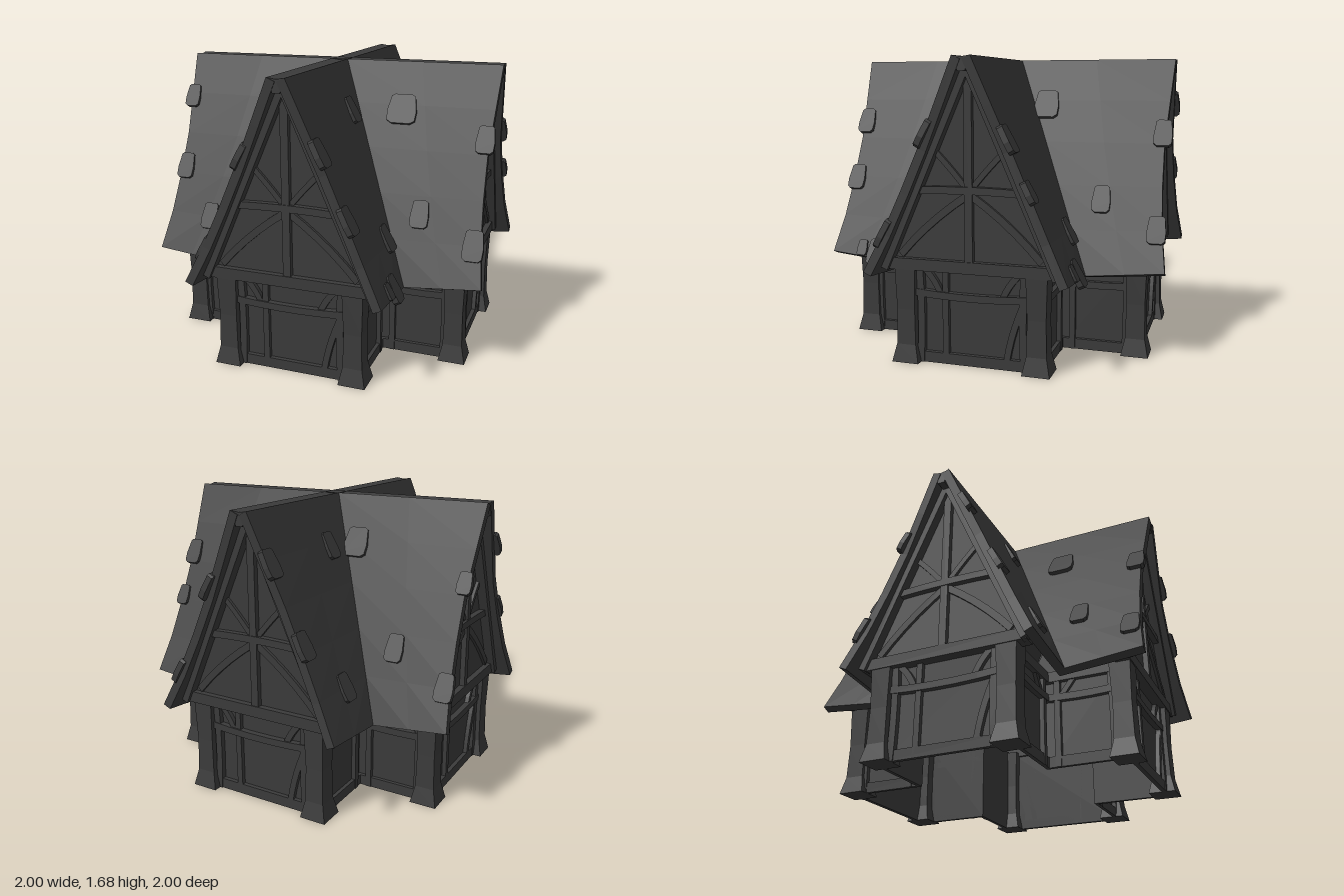
import * as THREE from 'three';

const mat = new THREE.MeshStandardMaterial({ color: 0x3b3b3b, flatShading: true, side: THREE.DoubleSide });

function add(parent, name, geometry) {
  const mesh = new THREE.Mesh(geometry, mat);
  mesh.name = name;
  parent.add(mesh);
  return mesh;
}

function extrude(points, z, depth) {
  const shape = new THREE.Shape(points.map(([x, y]) => new THREE.Vector2(x, y)));
  return new THREE.ExtrudeGeometry(shape, { depth, bevelEnabled: false }).translate(0, 0, z);
}

// Timber lying on a wall, from a to b, optionally bowed sideways
function timber(parent, name, a, b, width, z, depth, bow = 0) {
  const A = new THREE.Vector2(...a), B = new THREE.Vector2(...b);
  const dir = B.clone().sub(A).normalize();
  const n = new THREE.Vector2(-dir.y, dir.x);
  const mid = A.clone().add(B).multiplyScalar(0.5).addScaledVector(n, bow * 2);
  const curve = new THREE.QuadraticBezierCurve(A, mid, B);
  const steps = bow ? 5 : 1, left = [], right = [];
  for (let i = 0; i <= steps; i++) {
    const p = curve.getPoint(i / steps);
    left.unshift([p.x + n.x * width / 2, p.y + n.y * width / 2]);
    right.push([p.x - n.x * width / 2, p.y - n.y * width / 2]);
  }
  add(parent, name, extrude([...right, ...left], z, depth));
}

// Loft closed rings of points, capped at both ends
function loft(rings, flip) {
  const n = rings[0].length, index = [];
  const tri = (a, b, c) => flip ? index.push(a, c, b) : index.push(a, b, c);
  for (let i = 0; i + 1 < rings.length; i++) {
    for (let j = 0; j < n; j++) {
      const a = i * n + j, b = i * n + (j + 1) % n;
      tri(a, b, b + n);
      tri(a, b + n, a + n);
    }
  }
  const last = (rings.length - 1) * n;
  for (let j = 1; j + 1 < n; j++) {
    tri(0, j + 1, j);
    tri(last, last + j, last + j + 1);
  }
  const g = new THREE.BufferGeometry();
  g.setAttribute('position', new THREE.Float32BufferAttribute(rings.flat(2), 3));
  g.setIndex(index);
  const flat = g.toNonIndexed();
  flat.computeVertexNormals();
  return flat;
}

// Roof slope: height at distance h from the ridge line and z along the wing
const H0 = 0.05, H1 = 0.57;
const roofY = (h, z) => {
  const t = (h - H0) / (H1 - H0);
  return 1.68 - 1.2 * t + 0.045 * t ** 4 * Math.max(0, (z - 0.55) / 0.45);
};
const NX = 0.917, NY = 0.398, THICK = 0.05;

// One roof slab: mitred at the valley, with a wavy gable edge
function roofSlab(s) {
  const ends = [0.98, 0.965, 0.95, 0.955, 0.97, 1.0];
  const rings = ends.map((end, i) => {
    const h = H0 + (H1 - H0) * i / (ends.length - 1);
    const zs = [h, (h + end) / 2, end];
    const top = zs.map((z) => [s * h, roofY(h, z), z]);
    const b = h - NX * THICK;
    const under = [b, (h + end) / 2, end].map((z, k) => [s * b, roofY(h, zs[k]) - NY * THICK, z]);
    return [...top, ...under.reverse()];
  });
  return loft(rings, s > 0);
}

// Raised shingle with a tapered top and clipped lower corners
function shingle(parent, x, z, scale = 1) {
  const s = Math.sign(x), h = Math.abs(x);
  const outline = [[-0.043, 0.035], [-0.053, -0.05], [-0.05, -0.1], [-0.033, -0.115],
    [0.033, -0.115], [0.05, -0.1], [0.053, -0.05], [0.043, 0.035], [0.03, 0.045], [-0.03, 0.045]];
  const mesh = add(parent, 'raisedShingle', extrude(outline, -0.02, 0.034));
  const basis = new THREE.Matrix4().makeBasis(
    new THREE.Vector3(0, 0, -s), new THREE.Vector3(-s * NY, NX, 0), new THREE.Vector3(s * NX, NY, 0));
  mesh.quaternion.setFromRotationMatrix(basis);
  mesh.rotateX(-0.08);
  mesh.scale.set(scale, Math.min(scale, 1.1), 1);
  mesh.position.set(x, roofY(h, z), z);
}

// Square post with a flared foot and head
function post(parent, x, z) {
  const levels = [[0, 0.078], [0.1, 0.056], [0.3, 0.052], [0.55, 0.06]];
  const rings = levels.map(([y, r]) => [[-r, y, -r], [r, y, -r], [r, y, r], [-r, y, r]]);
  add(parent, 'cornerPost', loft(rings, true)).position.set(x, 0, z);
}

// Planes of the end wall, side walls and gable, measured from the middle
const END = 0.83, SIDE = 0.385, GABLE = 0.86;

function endWall(wing) {
  const g = new THREE.Group();
  g.name = 'endWallFrame';
  const d = 0.035;
  add(g, 'endWallPanel', new THREE.PlaneGeometry(0.76, 0.56).translate(0, 0.28, END));
  timber(g, 'sill', [-0.36, 0.03], [0.36, 0.03], 0.06, END, d - 0.01);
  timber(g, 'middleRail', [-0.34, 0.4], [0.34, 0.4], 0.04, END, d, -0.015);
  timber(g, 'wallStud', [-0.15, 0], [-0.15, 0.54], 0.035, END, d - 0.01);
  timber(g, 'longBrace', [0.2, 0.05], [0.29, 0.36], 0.035, END, d - 0.01, 0.01);
  for (const s of [-1, 1]) {
    timber(g, 'outerStud', [s * 0.3, 0], [s * 0.3, 0.54], 0.04, END, d - 0.005, s * 0.008);
    timber(g, 'shortBrace', [s * 0.18, 0.4], [s * 0.28, 0.54], 0.035, END, d - 0.01, s * 0.01);
  }
  // Gable timbers
  const gd = 0.03;
  add(g, 'gablePanel', extrude([[-0.49, 0.53], [0.49, 0.53], [0, 1.61]], GABLE - 0.02, 0.02));
  timber(g, 'gableBeam', [-0.49, 0.56], [0.49, 0.56], 0.065, END - 0.02, 0.085);
  timber(g, 'kingPost', [0, 0.58], [0, 1.6], 0.045, GABLE, gd);
  timber(g, 'collarBeam', [-0.3, 0.97], [0.3, 0.97], 0.04, GABLE, gd + 0.005, 0.008);
  for (const s of [-1, 1]) {
    timber(g, 'gableRafter', [s * 0.495, 0.535], [s * 0.012, 1.62], 0.06, GABLE, gd + 0.025);
    timber(g, 'upperBrace', [s * 0.01, 0.98], [s * 0.19, 1.18], 0.03, GABLE, gd - 0.012, s * 0.004);
    timber(g, 'lowerBrace', [s * 0.01, 0.95], [s * 0.4, 0.61], 0.04, GABLE, gd - 0.012, s * 0.018);
  }
  wing.add(g);
}

function sideWall(wing, s) {
  const g = new THREE.Group();
  g.name = 'sideWallFrame';
  g.rotation.y = s * Math.PI / 2;
  const u = (z) => -s * z, d = 0.03, length = END - SIDE;
  add(g, 'sideWallPanel', new THREE.PlaneGeometry(length, 0.56).translate(u(SIDE + length / 2), 0.28, SIDE));
  timber(g, 'sideSill', [u(SIDE), 0.03], [u(END), 0.03], 0.06, SIDE, d - 0.008);
  timber(g, 'sideRail', [u(SIDE), 0.4], [u(END), 0.4], 0.04, SIDE, d, s * 0.01);
  timber(g, 'sideTopRail', [u(SIDE), 0.52], [u(END), 0.52], 0.06, SIDE, d);
  timber(g, 'sideStud', [u(0.46), 0], [u(0.46), 0.53], 0.035, SIDE, d - 0.004);
  timber(g, 'sideStud', [u(0.765), 0], [u(0.765), 0.53], 0.03, SIDE, d - 0.004, 0.006 * s);
  timber(g, 'sideBrace', [u(0.48), 0.4], [u(0.57), 0.52], 0.03, SIDE, d - 0.01);
  wing.add(g);
}

function createWing(name, shingles) {
  const wing = new THREE.Group();
  wing.name = name;
  add(wing, 'ridgeBeam', extrude([[-0.02, 1.6], [0.02, 1.6], [0.05, 1.68], [0, 1.672], [-0.05, 1.68]], 0, 0.975));
  endWall(wing);
  for (const s of [-1, 1]) {
    add(wing, 'roofSlope', roofSlab(s));
    post(wing, s * 0.375, 0.83);
    sideWall(wing, s);
  }
  shingles.forEach((p) => shingle(wing, ...p));
  return wing;
}

export function createModel() {
  const model = new THREE.Group();
  model.name = 'timberHouse';
  // Shingles per wing: x across the ridge, z along it, size
  const wings = {
    frontWing: [[-0.16, 0.43, 1.5], [0.15, 0.3], [-0.38, 0.61], [0.44, 0.54], [-0.46, 0.92], [-0.22, 0.92],
      [0.2, 0.93], [0.35, 0.93], [0.54, 0.72], [0.54, 0.81, 0.6]],
    leftWing: [[0.45, 0.55], [0.34, 0.94, 0.8], [0.22, 0.93], [-0.15, 0.43, 1.65], [-0.39, 0.61],
      [-0.21, 0.93], [-0.45, 0.93, 1.1], [0.54, 0.72], [0.54, 0.81, 0.6]],
    backWing: [[0.45, 0.7], [0.33, 0.92], [0.15, 0.94], [0.15, 0.35], [-0.38, 0.62], [-0.15, 0.24, 1.4],
      [-0.22, 0.94], [-0.45, 0.94]],
    rightWing: [[-0.45, 0.94], [-0.22, 0.94, 0.8], [-0.38, 0.61], [-0.15, 0.24, 1.4], [0.14, 0.34],
      [0.15, 0.95, 0.9], [0.33, 0.92], [0.45, 0.7]],
  };
  Object.entries(wings).forEach(([name, shingles], k) => {
    const wing = createWing(name, shingles);
    wing.rotation.y = k * Math.PI / 2;
    model.add(wing);
  });
  return model;
}
